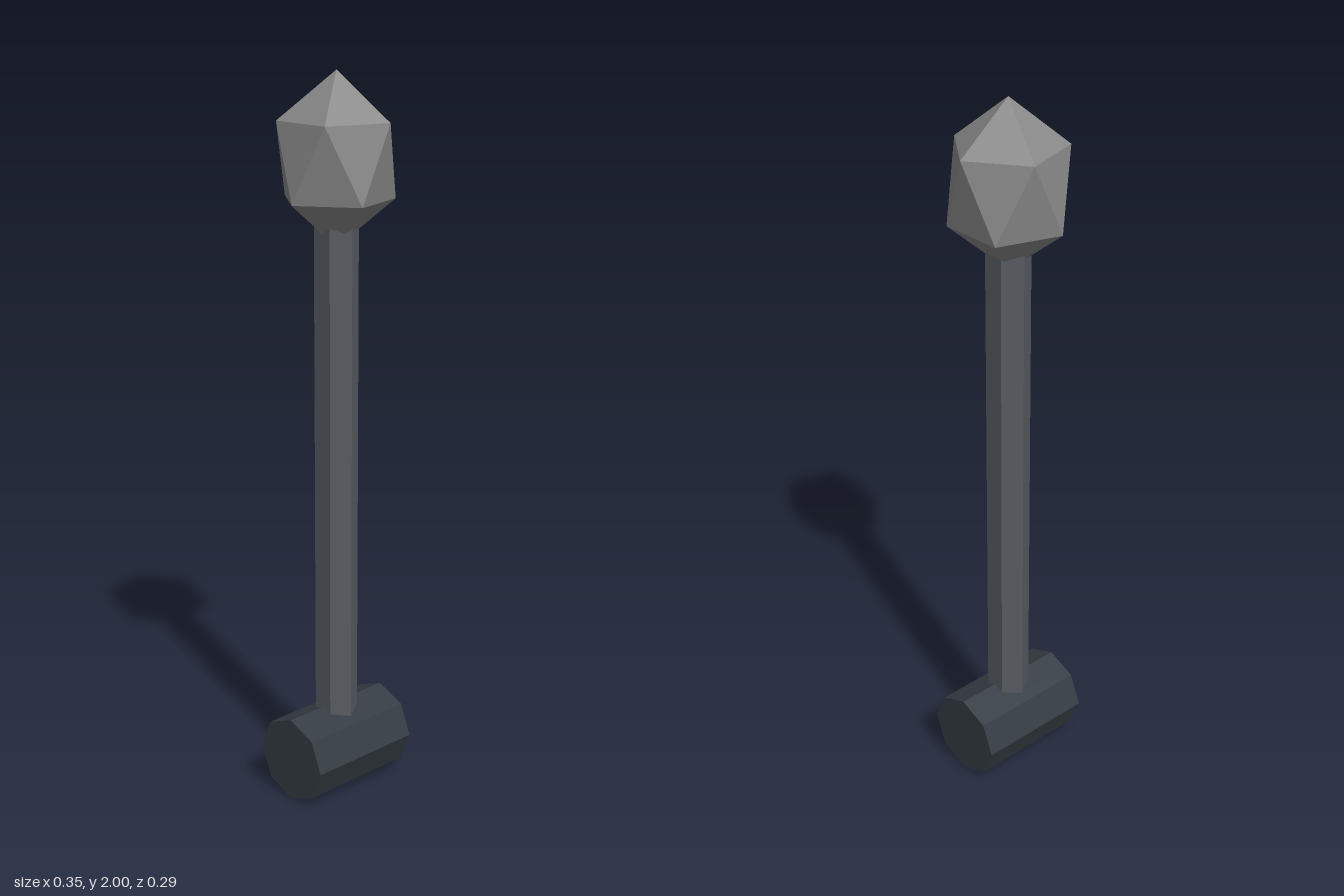
import * as THREE from 'three';

const flat = (name, color) => {
  const m = new THREE.MeshStandardMaterial({ color, flatShading: true });
  m.name = name;
  return m;
};

export function createModel() {
  const model = new THREE.Group();
  model.name = 'mace';
  const add = (name, geometry, material, y) => {
    const mesh = new THREE.Mesh(geometry, material);
    mesh.name = name;
    mesh.position.y = y;
    model.add(mesh);
  };

  // Eight-sided crossbar lying along x
  const bar = new THREE.CylinderGeometry(0.122, 0.122, 0.348, 8);
  bar.rotateZ(Math.PI / 2);
  add('crossbar', bar, flat('dark slate', 0x343c43), 0.122);

  // Six-sided shaft, sunk into both ends
  add('shaft', new THREE.CylinderGeometry(0.06, 0.06, 1.58, 6), flat('iron grey', 0x565b60), 0.91);

  // Stretched icosahedron standing on one of its points
  const head = new THREE.IcosahedronGeometry(1, 0);
  head.rotateZ(-Math.atan(2 / (1 + Math.sqrt(5))));
  head.scale(0.173, 0.2265, 0.173);
  add('head', head, flat('stone grey', 0x888888), 1.7735);

  return model;
}
